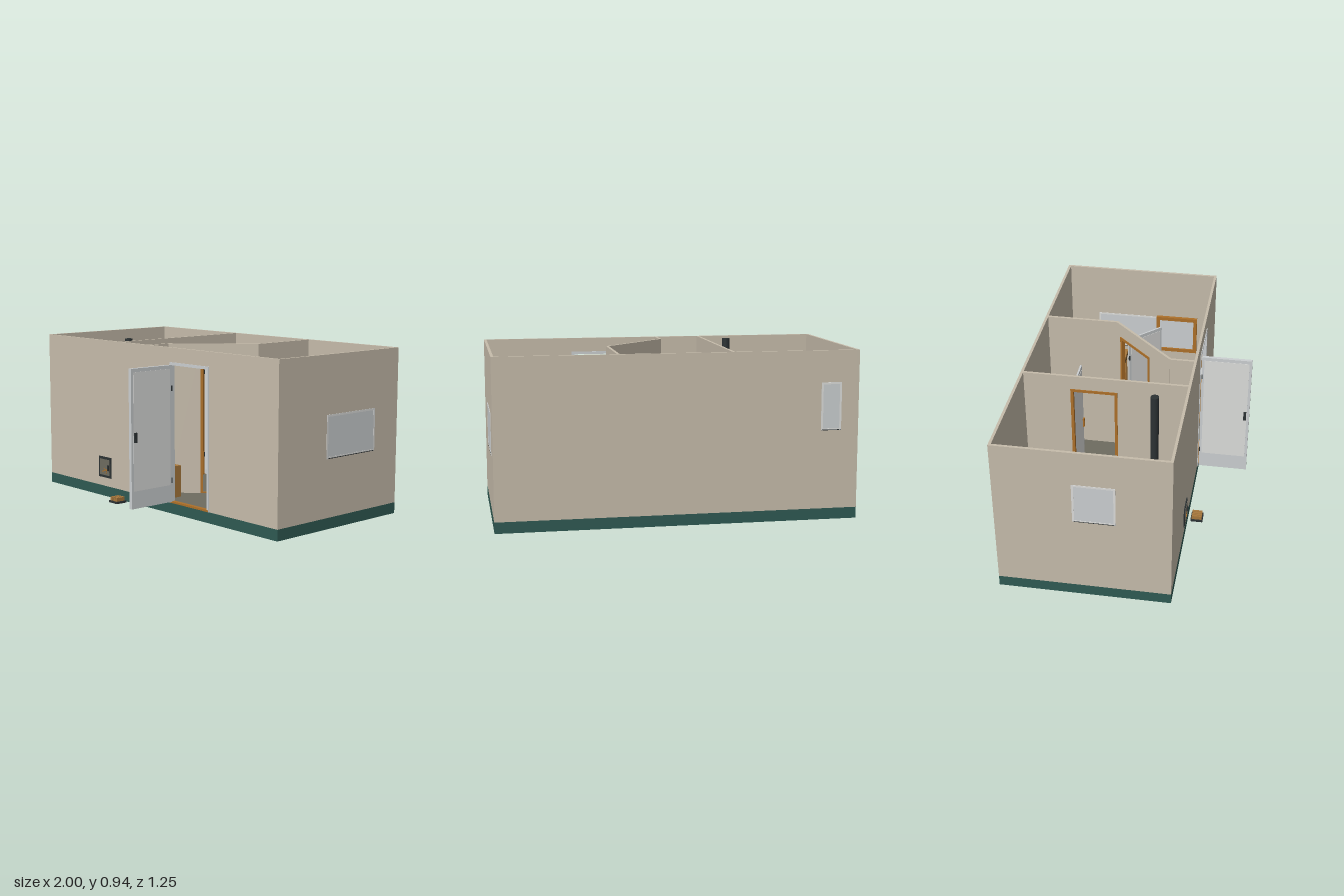
import * as THREE from 'three';
import { RoundedBoxGeometry } from 'three/addons/geometries/RoundedBoxGeometry.js';

const mat = (name, color) => Object.assign(new THREE.MeshStandardMaterial({ color }), { name });

export function createModel() {
  const M = {
    wall: mat('plaster', 0xc6bcab), green: mat('greenBase', 0x2f5a53), wood: mat('wood', 0xa8783c),
    gap: mat('darkWood', 0x58401f), floor: mat('floor', 0x6e6c60), panel: mat('paleGrey', 0xcbcfd1),
    white: mat('white', 0xdcdddb), iron: mat('iron', 0x2c3234), cream: mat('cream', 0xd6cab0), trim: mat('orangeTrim', 0xad7029),
  };
  const root = new THREE.Group();
  root.name = 'sauna cabin';
  const group = (name, parent = root) => {
    const g = new THREE.Group();
    g.name = name;
    parent.add(g);
    return g;
  };
  const add = (name, geo, m, x, y, z, parent = root) => {
    const o = new THREE.Mesh(geo, m);
    o.name = name;
    o.position.set(x, y, z);
    parent.add(o);
    return o;
  };
  // box given by its limits
  const box = (name, m, x0, x1, y0, y1, z0, z1, parent = root) =>
    add(name, new THREE.BoxGeometry(x1 - x0, y1 - y0, z1 - z0), m, (x0 + x1) / 2, (y0 + y1) / 2, (z0 + z1) / 2, parent);
  const cyl = (name, m, r0, r1, h, x, y, z, parent = root, n = 20) =>
    add(name, new THREE.CylinderGeometry(r0, r1, h, n), m, x, y, z, parent);
  // group whose local x runs on the plan from a to b
  const along = (name, ax, az, bx, bz) => {
    const g = group(name);
    g.position.set(ax, 0, az);
    g.rotation.y = Math.atan2(az - bz, bx - ax);
    g.userData.len = Math.hypot(bx - ax, bz - az);
    return g;
  };

  const Y0 = 0.062, TOP = 0.94, T = 0.015, DOOR = 0.855;

  // base and floor
  box('base', M.green, -0.998, 0.998, 0, Y0, -0.622, 0.325);
  box('floor', M.floor, -0.99, 0.99, Y0, 0.067, -0.615, 0.318);

  // walls, with an optional framed doorway from u0 to u1
  function wall(name, ax, az, bx, bz, u0, u1, frame) {
    const g = along(name, ax, az, bx, bz), L = g.userData.len, h = T / 2;
    if (u0 === undefined) {
      box(name, M.wall, 0, L, Y0, TOP, -h, h, g);
      return;
    }
    box(name, M.wall, 0, u0, Y0, TOP, -h, h, g);
    box(name, M.wall, u1, L, Y0, TOP, -h, h, g);
    box('lintel', M.wall, u0, u1, DOOR, TOP, -h, h, g);
    const d = h + 0.004, w = 0.012;
    box('doorJamb', frame, u0 - 0.004, u0 + w, Y0, DOOR, -d, d, g);
    box('doorJamb', frame, u1 - w, u1 + 0.004, Y0, DOOR, -d, d, g);
    box('doorHead', frame, u0 - 0.004, u1 + 0.004, DOOR - w, DOOR + 0.004, -d, d, g);
    box('threshold', M.trim, u0, u1, Y0, 0.073, -d, d, g);
  }
  wall('backWall', -0.998, -0.6145, 0.998, -0.6145);
  wall('frontWall', -0.998, 0.3175, 0.998, 0.3175, 1.16, 1.473, M.panel);
  wall('leftWall', 0.9905, -0.622, 0.9905, 0.325);
  wall('rightWall', -0.9905, -0.622, -0.9905, 0.325);
  wall('saunaPartition', -0.295, -0.615, -0.295, 0.318, 0.275, 0.53, M.trim);
  wall('washroomPartition', 0.33, -0.615, 0.33, -0.187);
  wall('diagonalPartition', 0.33, -0.19, -0.035, 0.175, 0.045, 0.325, M.trim);
  wall('entryPartition', -0.035, 0.172, -0.035, 0.318);

  // open door leaves
  function leaf(name, ax, az, bx, bz, t, handle, low) {
    const g = along(name, ax, az, bx, bz), L = g.userData.len, h = t / 2;
    box('doorLeaf', M.panel, 0, L, 0.072, 0.845, -h, h, g);
    for (const s of [-1, 1]) {
      const z = s * (h + 0.001);
      box('doorPanel', M.white, 0.015, L - 0.015, low, 0.825, z - 0.001, z + 0.001, g);
      box('handle', handle, L - 0.034, L - 0.018, 0.44, 0.495, s * (h + 0.006) - 0.005, s * (h + 0.006) + 0.005, g);
      for (const y of [0.18, 0.7]) box('hinge', M.iron, 0, 0.006, y, y + 0.03, z - 0.002, z + 0.002, g);
    }
  }
  leaf('frontDoor', 0.173, 0.333, 0.173, 0.624, 0.02, M.iron, 0.17);
  leaf('saunaDoor', -0.285, -0.34, -0.03, -0.34, 0.01, M.trim, 0.1);
  leaf('washroomDoor', 0.3, -0.12, 0.472, 0.05, 0.01, M.trim, 0.1);

  // windows set through the walls
  function windowUnit(name, ax, az, bx, bz, y0, y1) {
    const g = along(name, ax, az, bx, bz), L = g.userData.len, w = 0.011, d = 0.0095;
    box('pane', M.panel, w, L - w, y0 + w, y1 - w, -0.0083, 0.0083, g);
    box('frame', M.white, 0, w, y0, y1, -d, d, g);
    box('frame', M.white, L - w, L, y0, y1, -d, d, g);
    box('frame', M.white, 0, L, y1 - w, y1, -d, d, g);
    box('frame', M.white, 0, L, y0 + 0.004, y0 + w, -d, d, g);
    box('sill', M.iron, 0, L, y0, y0 + 0.004, -d, d, g);
  }
  windowUnit('loungeWindow', 0.9905, -0.43, 0.9905, -0.04, 0.383, 0.62);
  windowUnit('saunaSideWindow', -0.9905, -0.2, -0.9905, 0.03, 0.5, 0.74);
  windowUnit('saunaBackWindow', -0.9, -0.6145, -0.785, -0.6145, 0.5, 0.765);

  // boards with dark gaps, running along x or z
  function boards(name, x0, x1, z0, z1, y, n, alongX, g = group(name)) {
    box('underlay', M.gap, x0, x1, y - 0.018, y - 0.008, z0, z1, g);
    const a = alongX ? z0 : x0, step = ((alongX ? z1 : x1) - a) / n, gap = 0.004;
    for (let i = 0; i < n; i++) {
      const p = a + i * step + gap, q = a + (i + 1) * step - gap;
      if (alongX) box('board', M.wood, x0, x1, y - 0.01, y, p, q, g);
      else box('board', M.wood, p, q, y - 0.01, y, z0, z1, g);
    }
    return g;
  }
  function bench(name, x0, x1, z0, z1, y, n, alongX) {
    const g = boards(name, x0, x1, z0, z1, y, n, alongX), w = 0.025;
    for (const x of [x0 + 0.01, x1 - 0.01 - w])
      for (const z of [z0 + 0.01, z1 - 0.01 - w]) box('leg', M.wood, x, x + w, 0.067, y - 0.016, z, z + w, g);
    return g;
  }

  // sauna room
  boards('saunaFloor', -0.983, -0.303, -0.606, 0.309, 0.083, 15, false);
  for (const [z0, z1] of [[-0.45, -0.32], [-0.31, -0.115], [-0.105, 0.08]])
    boards('duckboard', -0.575, -0.305, z0, z1, 0.105, 6, false);
  bench('saunaLongBench', -0.983, -0.7, -0.606, 0.309, 0.36, 6, false);
  bench('saunaBackBench', -0.7, -0.303, -0.606, -0.46, 0.36, 4, true);

  // whisk on the bench
  const whisk = group('whisk');
  cyl('whiskCore', M.iron, 0.018, 0.022, 0.03, -0.84, 0.376, -0.352, whisk, 10);
  for (let i = 0; i < 10; i++) {
    const a = i * Math.PI / 5;
    const twig = box('twig', M.iron, -0.025, 0.025, -0.003, 0.003, -0.004, 0.004, whisk);
    twig.position.set(-0.84 + Math.cos(a) * 0.03, 0.378, -0.352 + Math.sin(a) * 0.03);
    twig.rotation.y = -a;
  }

  // stove with stones, flue and outside firebox
  const stove = group('stove');
  box('stoveBody', M.iron, -0.53, -0.34, 0.083, 0.34, 0.08, 0.25, stove);
  for (let i = 0; i < 5; i++)
    for (let j = 0; j < 4; j++)
      add('stone', new THREE.IcosahedronGeometry(0.02, 0), (i + j) % 3 ? M.iron : M.floor, -0.505 + i * 0.035, 0.345, 0.11 + j * 0.036, stove).rotation.set(i, j, i + j);
  cyl('flue', M.iron, 0.023, 0.023, 0.6, -0.43, 0.64, 0.146, stove);
  box('fireTunnel', M.iron, -0.49, -0.385, 0.115, 0.24, 0.25, 0.327, stove);
  box('fireDoor', M.iron, -0.496, -0.38, 0.115, 0.24, 0.32, 0.331, stove);
  box('fireGlass', M.floor, -0.483, -0.393, 0.13, 0.226, 0.331, 0.333, stove);
  for (const [x, y, r] of [[-0.445, 0.155, 0.3], [-0.43, 0.165, -0.4], [-0.42, 0.155, 1.3]])
    box('ember', M.trim, -0.016, 0.016, -0.003, 0.003, 0, 0.002, stove).position.set(x, y, 0.3335), stove.children.at(-1).rotation.z = r;
  box('fireHandle', M.iron, -0.405, -0.396, 0.16, 0.195, 0.331, 0.34, stove);

  // small slatted step outside
  const step = group('outsideStep');
  box('stepFoot', M.iron, -0.295, -0.22, 0, 0.012, 0.342, 0.412, step);
  for (let i = 0; i < 4; i++) box('stepSlat', M.wood, -0.288 + i * 0.016, -0.276 + i * 0.016, 0.012, 0.034, 0.348, 0.406, step);

  // washroom: toilet, bench, wash stand
  const toilet = group('toilet');
  box('cistern', M.wood, -0.285, -0.225, 0.067, 0.34, -0.595, -0.47, toilet);
  for (let i = 0; i < 3; i++) cyl('button', M.cream, 0.008, 0.008, 0.006, -0.255, 0.342, -0.56 + i * 0.028, toilet, 12);
  const bowl = new THREE.CylinderGeometry(0.066, 0.045, 0.15, 24, 1, false, 0, Math.PI);
  add('bowl', bowl, M.cream, -0.225, 0.142, -0.533, toilet).scale.x = 1.2;
  add('seat', new THREE.CylinderGeometry(0.068, 0.068, 0.012, 24, 1, false, 0, Math.PI), M.cream, -0.225, 0.223, -0.533, toilet).scale.x = 1.2;

  bench('washroomBench', -0.085, 0.318, -0.602, -0.465, 0.243, 4, true);
  add('foldedTowel', new RoundedBoxGeometry(0.1, 0.022, 0.085, 2, 0.006), M.panel, 0.172, 0.254, -0.533);

  const stand = group('washStand');
  box('standTop', M.wood, -0.272, -0.05, 0.25, 0.265, 0.17, 0.309, stand);
  for (const x of [-0.272, -0.075]) box('standSide', M.wood, x, x + 0.025, 0.067, 0.25, 0.17, 0.309, stand);
  box('basin', M.white, -0.17, -0.082, 0.265, 0.285, 0.195, 0.275, stand);
  const bucket = [[0, 0], [0.042, 0], [0.052, 0.075], [0.046, 0.075], [0.04, 0.012], [0, 0.012]].map(p => new THREE.Vector2(...p));
  add('bucket', new THREE.LatheGeometry(bucket, 24), M.wood, -0.215, 0.265, 0.237, stand);
  add('bucketHoop', new THREE.TorusGeometry(0.049, 0.003, 8, 24), M.iron, -0.215, 0.31, 0.237, stand).rotation.x = Math.PI / 2;
  add('bucketHandle', new THREE.TorusGeometry(0.05, 0.003, 8, 20, Math.PI), M.iron, -0.215, 0.335, 0.237, stand).rotation.y = 0.4;

  // lounge: benches, pillows, table
  bench('loungeBackBench', 0.345, 0.978, -0.602, -0.467, 0.243, 4, true);
  bench('loungeBench', 0.58, 0.974, -0.21, -0.08, 0.243, 4, true);
  for (const [x, z, w, d] of [[0.465, -0.543, 0.15, 0.095], [0.85, -0.543, 0.15, 0.095], [0.655, -0.145, 0.11, 0.095]])
    add('pillow', new RoundedBoxGeometry(w, 0.045, d, 5, 0.022), M.white, x, 0.264, z);

  bench('table', 0.58, 0.974, -0.45, -0.235, 0.36, 4, true);
  const tea = group('teaSet');
  const pot = [[0, 0], [0.024, 0], [0.03, 0.018], [0.02, 0.038], [0.008, 0.042], [0, 0.05]].map(p => new THREE.Vector2(...p));
  add('teapot', new THREE.LatheGeometry(pot, 24), M.panel, 0.775, 0.36, -0.345, tea);
  for (const [x, z] of [[0.735, -0.32], [0.815, -0.32], [0.775, -0.39]]) cyl('cup', M.white, 0.012, 0.009, 0.018, x, 0.369, z, tea, 14);

  // cabinets
  const chest = group('sideboard');
  box('sideboardBody', M.wood, 0.622, 0.978, 0.067, 0.32, 0.21, 0.309, chest);
  for (let i = 0; i < 3; i++) {
    const x = 0.63 + i * 0.116;
    box('drawer', M.trim, x, x + 0.108, 0.09, 0.305, 0.206, 0.21, chest);
    box('knob', M.iron, x + 0.048, x + 0.06, 0.2, 0.212, 0.2, 0.206, chest);
  }
  box('tray', M.white, 0.75, 0.848, 0.32, 0.345, 0.228, 0.285, chest);
  box('entryCabinet', M.wood, -0.024, 0.098, 0.067, 0.25, 0.195, 0.309);

  // framed mirror on the side wall
  const mirror = group('mirror');
  box('mirrorGlass', M.panel, 0.972, 0.983, 0.4, 0.61, -0.03, 0.19, mirror);
  for (const z of [-0.05, 0.19]) box('mirrorFrame', M.trim, 0.962, 0.983, 0.38, 0.63, z, z + 0.022, mirror);
  for (const y of [0.38, 0.608]) box('mirrorFrame', M.trim, 0.962, 0.983, y, y + 0.022, -0.05, 0.212, mirror);

  return root;
}
